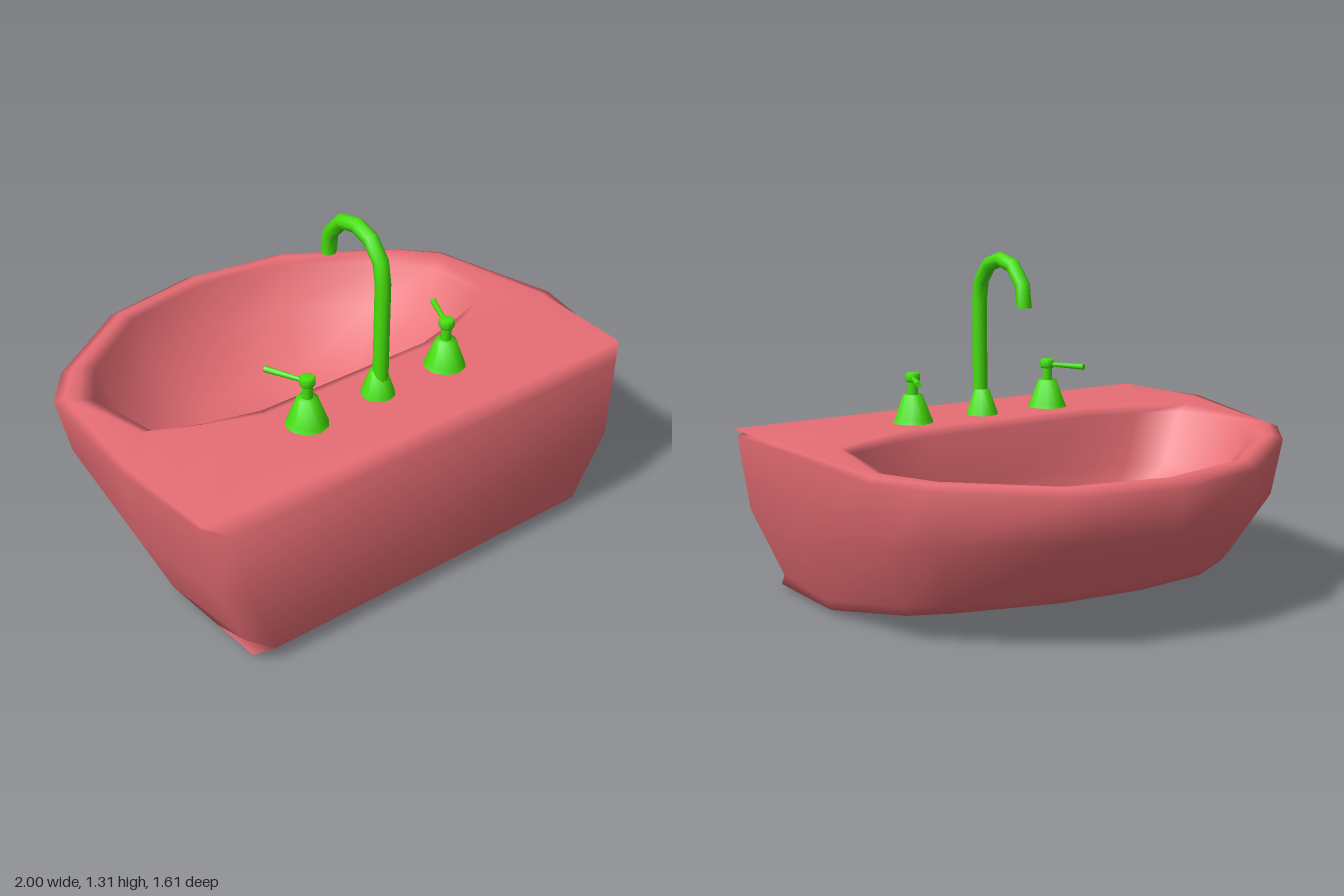
import * as THREE from 'three';
import { mergeVertices } from 'three/addons/utils/BufferGeometryUtils.js';

const ceramic = new THREE.MeshStandardMaterial({ color: 0xe86e75 });
const metal = new THREE.MeshStandardMaterial({ color: 0x46e00c });
const DECK = 0.655;
const TAP_Z = 0.435;

// Half outlines [x, z] from the bowl tip (-z) to the wall side (+z); the fifth point is the widest
const shell = [[0, -0.805], [0.41, -0.73], [0.8, -0.45], [0.93, -0.28], [1, 0.28], [0.95, 0.7], [0.88, 0.8], [0, 0.8]];
const sharpShell = [...shell.slice(0, 5), [0.99, 0.56], [0.98, 0.8], [0, 0.8]];
const opening = [[0, -0.7], [0.37, -0.63], [0.69, -0.39], [0.81, -0.2], [0.76, 0.13], [0.59, 0.19], [0.38, 0.245], [0, 0.245]];

// Closed ring: the outline narrowed by width, fitted from tip z to wall z,
// with its height running from yTip through ySide at the widest point to yWall
function ring(outline, width, tip, wall, yTip, ySide, yWall = ySide) {
  const pivot = outline[4][1];
  const half = outline.map(([x, z]) => {
    const front = Math.max(0, (pivot - z) / (pivot - outline[0][1]));
    const back = Math.max(0, (z - pivot) / (outline[7][1] - pivot));
    return [
      x * width,
      ySide + front * (yTip - ySide) + back * (yWall - ySide),
      pivot + front * (tip - pivot) + back * (wall - pivot),
    ];
  });
  return [...half, ...half.slice(1, -1).reverse().map(([x, y, z]) => [-x, y, z])];
}

// Joins closed rings into one smooth skin
function loft(rings) {
  const n = rings[0].length, index = [];
  for (let i = 0; i < rings.length - 1; i++) {
    for (let j = 0; j < n; j++) {
      const a = i * n + j, b = i * n + (j + 1) % n;
      index.push(a, a + n, b, b, a + n, b + n);
    }
  }
  const geo = new THREE.BufferGeometry();
  geo.setAttribute('position', new THREE.Float32BufferAttribute(rings.flat(2), 3));
  geo.setIndex(index);
  const merged = mergeVertices(geo);
  merged.computeVertexNormals();
  return merged;
}

function add(parent, name, geometry, material, x = 0, y = 0, z = 0) {
  const mesh = new THREE.Mesh(geometry, material);
  mesh.name = name;
  mesh.position.set(x, y, z);
  parent.add(mesh);
  return mesh;
}

function turned(points, sides) {
  return new THREE.LatheGeometry(points.map(p => new THREE.Vector2(...p)), sides);
}

// Lever tap, mirrored by side (+1 or -1)
function makeTap(side) {
  const tap = new THREE.Group();
  tap.name = side > 0 ? 'leftTap' : 'rightTap';
  add(tap, 'tapBase', turned([[0.08, 0], [0.073, 0.015], [0.038, 0.108], [0, 0.11]], 10), metal);
  add(tap, 'tapStem', new THREE.CylinderGeometry(0.02, 0.02, 0.08, 10), metal, 0, 0.14, 0);
  add(tap, 'tapCap', turned([[0, -0.018], [0.024, -0.018], [0.03, -0.01], [0.03, 0.01], [0.024, 0.018], [0, 0.018]], 10), metal, 0, 0.176, 0);
  const lever = new THREE.CylinderGeometry(0.012, 0.008, 0.17, 8);
  lever.rotateX(-Math.PI / 2);
  lever.translate(0, 0, -0.085);
  const arm = add(tap, 'tapLever', lever, metal, 0, 0.173, 0);
  arm.rotation.y = -side * 0.42;
  tap.position.set(side * 0.32, DECK, TAP_Z);
  return tap;
}

export function createModel() {
  const model = new THREE.Group();
  model.name = 'washbasin';

  // Basin skin, from the underside up over the rim and down to the bowl floor
  add(model, 'basin', loft([
    ring(shell, 0, 0.28, 0.28, 0, 0), // underside centre
    ring(sharpShell, 0.45, -0.27, 0.55, 0.08, 0.008), // underside
    ring(sharpShell, 0.78, -0.59, 0.71, 0.165, 0.015), // lower edge
    ring(shell, 0.81, -0.62, 0.77, 0.2, 0.06), // lower bevel
    ring(shell, 0.94, -0.79, 0.8, 0.415, 0.335), // belly
    ring(shell, 1, -0.805, 0.77, 0.57, DECK, 0.625), // outer rim
    ring(sharpShell, 0.97, -0.755, 0.71, 0.6, DECK), // rim crest and deck edge
    ring(opening, 1.07, -0.73, 0.3, 0.598, DECK), // lip crest
    ring(opening, 1, -0.7, 0.245, 0.585, 0.63), // inner lip
    ring(opening, 0.91, -0.64, 0.245, 0.42, 0.42), // bowl wall
    ring(opening, 0.62, -0.42, 0.18, 0.23, 0.2), // bowl floor
    ring(opening, 0, 0.13, 0.13, 0.18, 0.18).map(() => [0, 0.18, -0.02]), // floor centre
  ]), ceramic);

  // Drain plug
  add(model, 'drain', turned([[0.065, 0], [0.06, 0.02], [0, 0.03]], 10), metal, 0, 0.18, -0.015);

  // Spout: flared foot and a faceted swan neck, its mouth facing straight down
  add(model, 'spoutFoot', turned([[0.065, 0], [0.06, 0.015], [0.03, 0.1], [0, 0.1]], 10), metal, 0, DECK, TAP_Z);
  const path = new THREE.CatmullRomCurve3([
    [0.447, 0.7], [0.447, 1.11], [0.432, 1.19], [0.375, 1.255], [0.3, 1.278],
    [0.217, 1.26], [0.152, 1.19], [0.14, 1.105],
  ].map(([z, y]) => new THREE.Vector3(0, y, z)));
  path.getPointAt = t => path.getPoint(t);
  path.getTangentAt = t => (t < 1 ? path.getTangent(t) : new THREE.Vector3(0, -1, 0));
  add(model, 'spout', new THREE.TubeGeometry(path, 7, 0.029, 10), metal);
  const mouth = add(model, 'spoutMouth', new THREE.CircleGeometry(0.029, 10), metal, 0, 1.105, 0.14);
  mouth.rotation.x = Math.PI / 2;

  // Pair of taps
  for (const side of [1, -1]) model.add(makeTap(side));
  return model;
}
